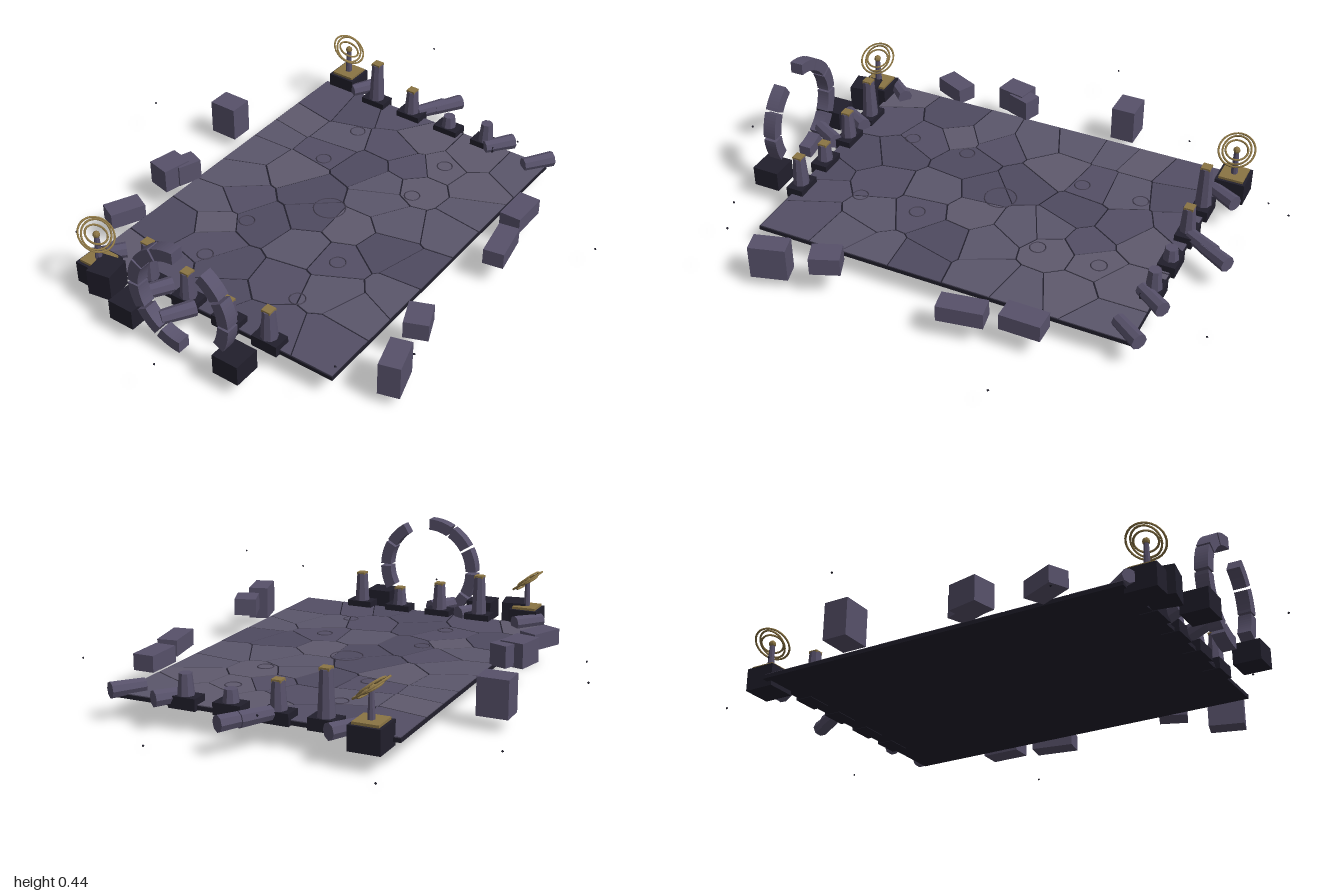
import * as THREE from 'three';

const mat = (color) => new THREE.MeshStandardMaterial({ color, flatShading: true });
const STONE = mat(0x57516a), DARK = mat(0x211f2c), GOLD = mat(0x8a7444), LINE = mat(0x403b4c);
const TILES = [0x5b566b, 0x544f65, 0x4f4a60, 0x5f5a6d].map(mat);
const FLOOR = { x0: -0.68, x1: 0.7, z0: -0.49, z1: 0.52, top: 0.093 };
const rad = THREE.MathUtils.degToRad;

function seeded(seed) {
  return () => (seed = (seed * 16807) % 2147483647) / 2147483647;
}

function add(parent, name, geometry, material, x = 0, y = 0, z = 0, turn = 0) {
  const mesh = new THREE.Mesh(geometry, material);
  mesh.name = name;
  mesh.position.set(x, y, z);
  mesh.rotation.y = -rad(turn); // positive turns +x towards +z
  parent.add(mesh);
  return mesh;
}

// Box given by its vertical range
function block(parent, name, material, x, z, w, d, y0, y1, turn = 0) {
  return add(parent, name, new THREE.BoxGeometry(w, y1 - y0, d), material, x, (y0 + y1) / 2, z, turn);
}

// Keep the part of a convex polygon nearer to site a than to site b
function clipNearer(poly, a, b) {
  const side = (p) => (p.x - (a.x + b.x) / 2) * (b.x - a.x) + (p.y - (a.y + b.y) / 2) * (b.y - a.y);
  const out = [];
  poly.forEach((p, i) => {
    const q = poly[(i + 1) % poly.length], sp = side(p), sq = side(q);
    if (sp <= 0) out.push(p);
    if (sp * sq < 0) out.push(p.clone().lerp(q, sp / (sp - sq)));
  });
  return out;
}

// Slab paved with irregular flagstones and inlaid circles
function buildFloor() {
  const g = new THREE.Group();
  g.name = 'floor';
  const { x0, x1, z0, z1, top } = FLOOR;
  block(g, 'floorSlab', DARK, (x0 + x1) / 2, (z0 + z1) / 2, x1 - x0, z1 - z0, 0.076, top - 0.003);
  const rand = seeded(41), cols = 8, rows = 6, sites = [];
  for (let r = 0; r < rows; r++) for (let c = 0; c < cols; c++) {
    sites.push(new THREE.Vector2(
      x0 + (c + 0.5 + (rand() - 0.5) * 0.75) * (x1 - x0) / cols,
      z0 + (r + 0.5 + (rand() - 0.5) * 0.75) * (z1 - z0) / rows));
  }
  sites.forEach((site, i) => {
    let poly = [[x0, z0], [x1, z0], [x1, z1], [x0, z1]].map(([x, z]) => new THREE.Vector2(x, z));
    for (const other of sites) if (other !== site) poly = clipNearer(poly, site, other);
    const middle = poly.reduce((m, p) => m.add(p), new THREE.Vector2()).divideScalar(poly.length);
    poly = poly.map((p) => p.clone().lerp(middle, 0.03));
    const geo = new THREE.ExtrudeGeometry(new THREE.Shape(poly), { depth: 0.006, bevelEnabled: false });
    add(g, 'flagstone', geo.rotateX(Math.PI / 2), TILES[Math.floor(rand() * 4)], 0, top, 0);
  });
  const inlay = (x, z, r) => add(g, 'floorCircle',
    new THREE.TorusGeometry(r, 0.0025, 4, 24).rotateX(Math.PI / 2), LINE, x, top, z);
  inlay(0.01, 0.015, 0.058);
  for (const x of [-0.45, -0.22, 0.245, 0.47]) for (const z of [-0.18, 0.215]) inlay(x, z, 0.028);
  return g;
}

// Tapered column on a dark plinth, optionally with a gilded cap
function column(parent, x, z, top, capped) {
  const g = new THREE.Group();
  g.name = 'column';
  block(g, 'columnPlinth', DARK, x, z, 0.064, 0.1, 0.074, 0.116);
  const h = top - 0.1;
  add(g, 'columnShaft', new THREE.CylinderGeometry(0.022, 0.031, h, 8), STONE, x, 0.1 + h / 2, z);
  if (capped) block(g, 'columnCap', GOLD, x, z, 0.034, 0.034, top - 0.004, top + 0.006);
  parent.add(g);
}

// Broken upright ring built from arc blocks
function buildRing() {
  const g = new THREE.Group();
  g.name = 'brokenRing';
  for (const start of [-60, -30, 0, 30, 60, 120, 150, 180, 270]) {
    const a = rad(start + 1.5), b = rad(start + 28.5);
    const s = new THREE.Shape();
    s.absarc(0, 0, 0.205, a, b, false);
    s.absarc(0, 0, 0.162, b, a, true);
    const geo = new THREE.ExtrudeGeometry(s, { depth: 0.048, bevelEnabled: false, curveSegments: 4 });
    add(g, 'ringBlock', geo.rotateY(Math.PI / 2), STONE, -0.83, 0.24, 0.03);
  }
  block(g, 'ringFooting', DARK, -0.805, -0.2, 0.1, 0.1, 0.06, 0.135);
  block(g, 'ringFooting', DARK, -0.805, 0.235, 0.1, 0.1, 0.06, 0.135);
  return g;
}

// Nested tilted hoops on a post and plinth
function armillary(x, z) {
  const g = new THREE.Group();
  g.name = 'armillary';
  block(g, 'armillaryPlinth', DARK, 0, 0, 0.11, 0.11, 0.06, 0.143);
  block(g, 'armillaryPlate', GOLD, 0, 0, 0.09, 0.09, 0.143, 0.152);
  add(g, 'armillaryPost', new THREE.CylinderGeometry(0.009, 0.013, 0.095, 8), STONE, 0, 0.198, 0);
  add(g, 'armillaryCore', new THREE.SphereGeometry(0.013, 8, 6), GOLD, 0, 0.25, 0);
  for (const [r, tilt, yaw] of [[0.065, -55, 0], [0.053, -46, 12], [0.04, -62, -14]]) {
    const hoop = add(g, 'armillaryHoop', new THREE.TorusGeometry(r, 0.0038, 6, 28), GOLD, 0, 0.25, 0, yaw);
    hoop.rotation.order = 'YXZ';
    hoop.rotation.x = rad(tilt);
  }
  g.position.set(x, 0, z);
  return g;
}

export function createModel() {
  const model = new THREE.Group();
  model.name = 'ruinedHall';
  model.add(buildFloor(), buildRing(), armillary(-0.725, -0.41), armillary(0.737, -0.41));

  // Column rows: z, left top, right top, right cap
  for (const [z, rightTop, leftTop, capped] of [
    [-0.235, 0.26, 0.27, true], [-0.07, 0.215, 0.21, true],
    [0.1, 0.18, 0.16, false], [0.265, 0.225, 0.19, false]]) {
    column(model, -0.665, z, rightTop, true);
    column(model, 0.682, z, leftTop, capped);
  }
  block(model, 'looseFooting', DARK, -0.75, -0.355, 0.1, 0.09, 0.06, 0.16, -10);

  // Fallen column drums: x, z, turn
  for (const [x, z, turn] of [[0.73, -0.32, 30], [0.75, -0.025, 30], [0.81, 0.015, 30], [0.695, 0.315, 35],
    [0.68, 0.49, 35], [-0.7, -0.185, 30], [-0.745, -0.05, 30], [-0.65, -0.44, 40]]) {
    const geo = new THREE.CylinderGeometry(0.025, 0.029, 0.12, 8).rotateZ(Math.PI / 2);
    add(model, 'fallenDrum', geo, STONE, x, 0.108, z, turn);
  }

  // Fallen blocks: x, z, width, depth, bottom, top, turn
  for (const [x, z, w, d, y0, y1, turn] of [
    [-0.45, -0.55, 0.13, 0.075, 0.08, 0.14, 25], [-0.19, -0.56, 0.11, 0.09, 0.085, 0.175, 12],
    [-0.145, -0.525, 0.09, 0.07, 0.09, 0.17, 20], [0.245, -0.63, 0.09, 0.11, 0.045, 0.178, 0],
    [-0.54, 0.66, 0.13, 0.075, 0.04, 0.165, -16], [-0.345, 0.62, 0.105, 0.085, 0.1, 0.165, -22],
    [0.165, 0.63, 0.16, 0.075, 0.08, 0.14, -10], [0.365, 0.59, 0.145, 0.08, 0.08, 0.14, 0]]) {
    block(model, 'fallenBlock', STONE, x, z, w, d, y0, y1, turn);
  }

  // Floating chips around the edge
  for (const [x, y, z] of [[-0.997, 0.145, 0.075], [0.997, 0.21, -0.17], [0.86, 0.005, -0.48],
    [0.885, 0.005, 0.3], [0.105, 0.145, -0.89], [-0.55, 0.01, -0.705], [0.47, 0.01, -0.73],
    [-0.735, 0.21, 0.57], [-0.615, 0.28, 0.77], [0.38, 0.075, 0.885]]) {
    add(model, 'chip', new THREE.OctahedronGeometry(0.005), DARK, x, y, z);
  }
  return model;
}
